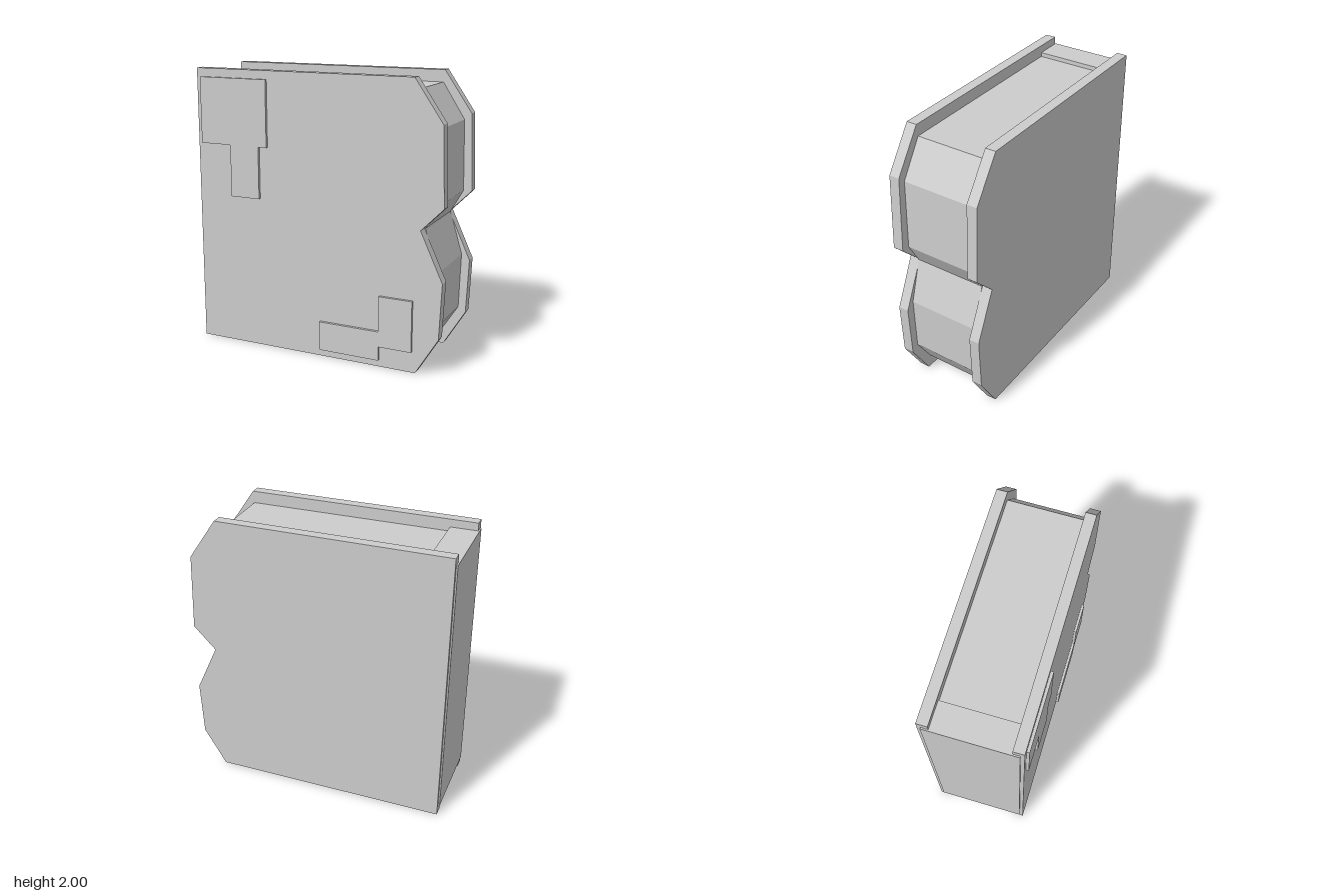
import * as THREE from 'three';

const grey = new THREE.MeshStandardMaterial({ color: 0xcccccc });
grey.name = 'light grey';

// Flat outline extruded between two depths
function slab(name, points, z0, z1) {
  const shape = new THREE.Shape(points.map(([x, y]) => new THREE.Vector2(x, y)));
  const geometry = new THREE.ExtrudeGeometry(shape, { depth: z1 - z0, bevelEnabled: false });
  geometry.translate(0, 0, z0);
  const mesh = new THREE.Mesh(geometry, grey);
  mesh.name = name;
  return mesh;
}

export function createModel() {
  const group = new THREE.Group();
  group.name = 'notchedBook';

  // Two covers with clipped corners and a notch in the open edge
  const cover = [
    [-0.925, 0], [0.755, 0], [0.915, 0.265], [0.932, 0.66],
    [0.772, 1.005], [0.93, 1.165], [0.91, 1.71], [0.71, 2], [-0.925, 2],
  ];
  group.add(slab('frontCover', cover, 0.25, 0.325));
  group.add(slab('backCover', cover, -0.345, -0.27));

  // Page block, slightly inset between the covers
  const pages = [
    [-0.8, 0.095], [0.73, 0.095], [0.86, 0.3], [0.872, 0.7],
    [0.78, 1.005], [0.87, 1.165], [0.86, 1.665], [0.7, 1.915], [-0.8, 1.915],
  ];
  group.add(slab('pages', pages, -0.271, 0.251));

  // Spine, a little taller than the pages and proud of the covers
  const spine = new THREE.Mesh(new THREE.BoxGeometry(0.2, 1.885, 0.62), grey);
  spine.name = 'spine';
  spine.position.set(-0.835, 1.0025, -0.01);
  group.add(spine);

  // Raised plates on the front cover
  group.add(slab('upperPlate', [
    [-0.89, 1.47], [-0.655, 1.47], [-0.655, 1.1], [-0.43, 1.1],
    [-0.43, 1.47], [-0.365, 1.47], [-0.365, 1.94], [-0.89, 1.94],
  ], 0.32, 0.345));
  group.add(slab('lowerPlate', [
    [0.04, 0.05], [0.49, 0.05], [0.49, 0.15], [0.73, 0.15],
    [0.73, 0.515], [0.49, 0.515], [0.49, 0.26], [0.04, 0.26],
  ], 0.32, 0.345));

  return group;
}
